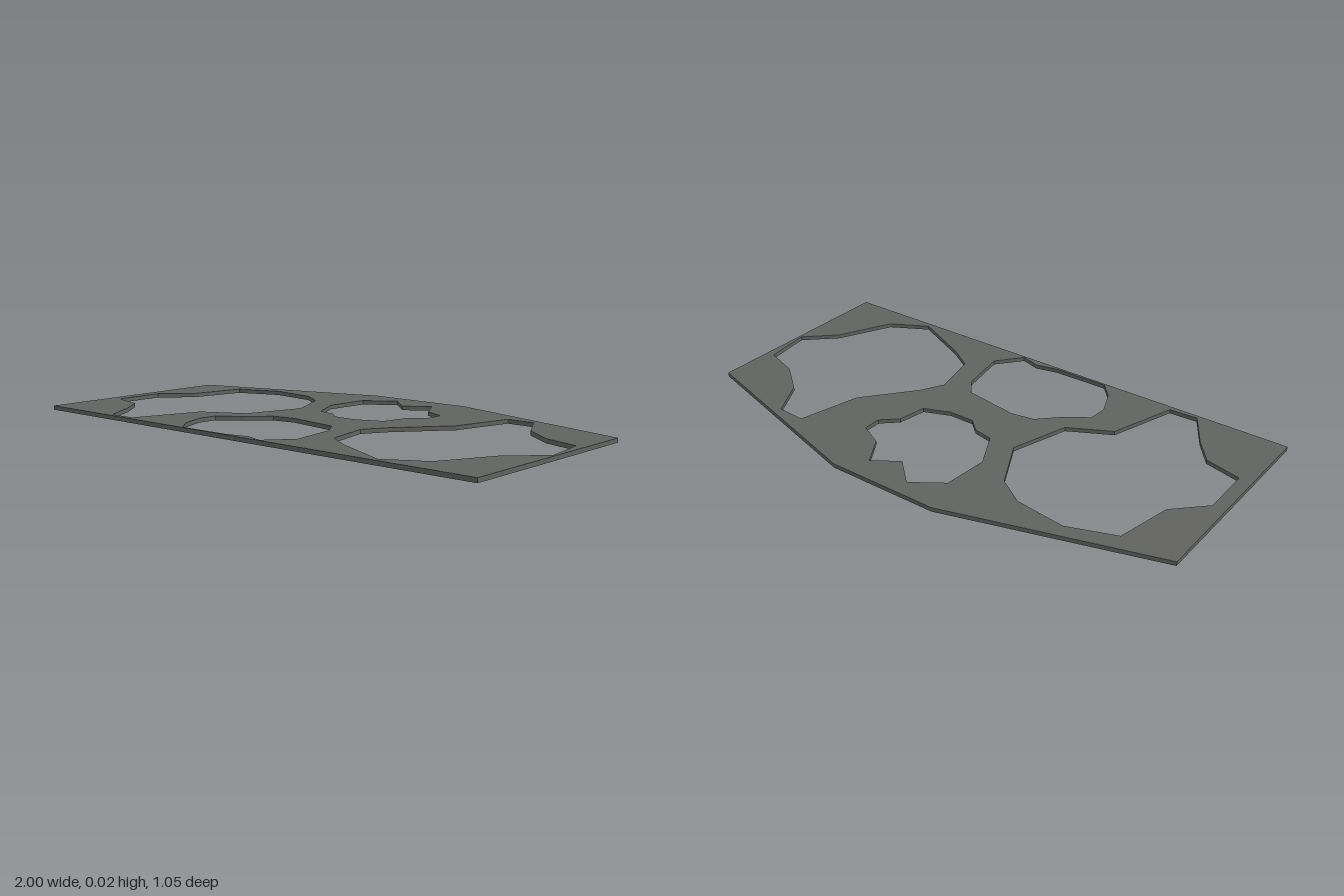
import * as THREE from 'three';

const THICKNESS = 0.016;

// Plan coordinates are [x, z]; shapes are drawn with y = -z and laid flat later
const toPoints = (plan) => plan.map(([x, z]) => new THREE.Vector2(x, -z));

const outline = [[-1, 0.526], [1, 0.526], [1, -0.295], [0.215, -0.526], [-0.22, -0.526], [-1, -0.295]];

const openings = [
  // left opening
  [[-0.62, -0.35], [-0.425, -0.325], [-0.32, -0.255], [-0.225, -0.065], [-0.295, 0.16], [-0.455, 0.245], [-0.54, 0.505],
    [-0.65, 0.51], [-0.735, 0.37], [-0.81, 0.275], [-0.95, 0.24], [-0.95, 0.04], [-0.84, -0.07], [-0.795, -0.285]],
  // back opening
  [[-0.06, -0.46], [0.035, -0.37], [0.13, -0.435], [0.195, -0.325], [0.285, -0.28], [0.285, -0.21], [0.225, -0.155],
    [0.205, -0.045], [0.105, -0.005], [0.005, -0.005], [-0.045, -0.05], [-0.12, -0.065], [-0.19, -0.205], [-0.175, -0.38]],
  // right opening
  [[0.52, -0.375], [0.63, -0.37], [0.71, -0.22], [0.83, -0.125], [0.965, -0.08], [0.99, 0.105], [0.875, 0.215],
    [0.77, 0.425], [0.625, 0.505], [0.395, 0.395], [0.295, 0.33], [0.255, 0.145], [0.305, 0.055], [0.46, -0.135]],
  // front opening
  [[-0.08, 0.125], [0.135, 0.16], [0.185, 0.23], [0.215, 0.42], [0.135, 0.518], [0.06, 0.495], [-0.03, 0.515],
    [-0.245, 0.518], [-0.3, 0.455], [-0.34, 0.355], [-0.335, 0.28], [-0.245, 0.215], [-0.17, 0.14]],
];

export function createModel() {
  const group = new THREE.Group();
  group.name = 'perforatedPanel';

  const darkGrey = new THREE.MeshStandardMaterial({ color: 0x616360 });
  darkGrey.name = 'darkGrey';

  // Flat panel with four irregular openings
  const shape = new THREE.Shape(toPoints(outline));
  shape.holes = openings.map((plan) => new THREE.Path(toPoints(plan)));
  const geometry = new THREE.ExtrudeGeometry(shape, { depth: THICKNESS, bevelEnabled: false });
  geometry.rotateX(-Math.PI / 2);

  const panel = new THREE.Mesh(geometry, darkGrey);
  panel.name = 'panel';
  group.add(panel);
  return group;
}
